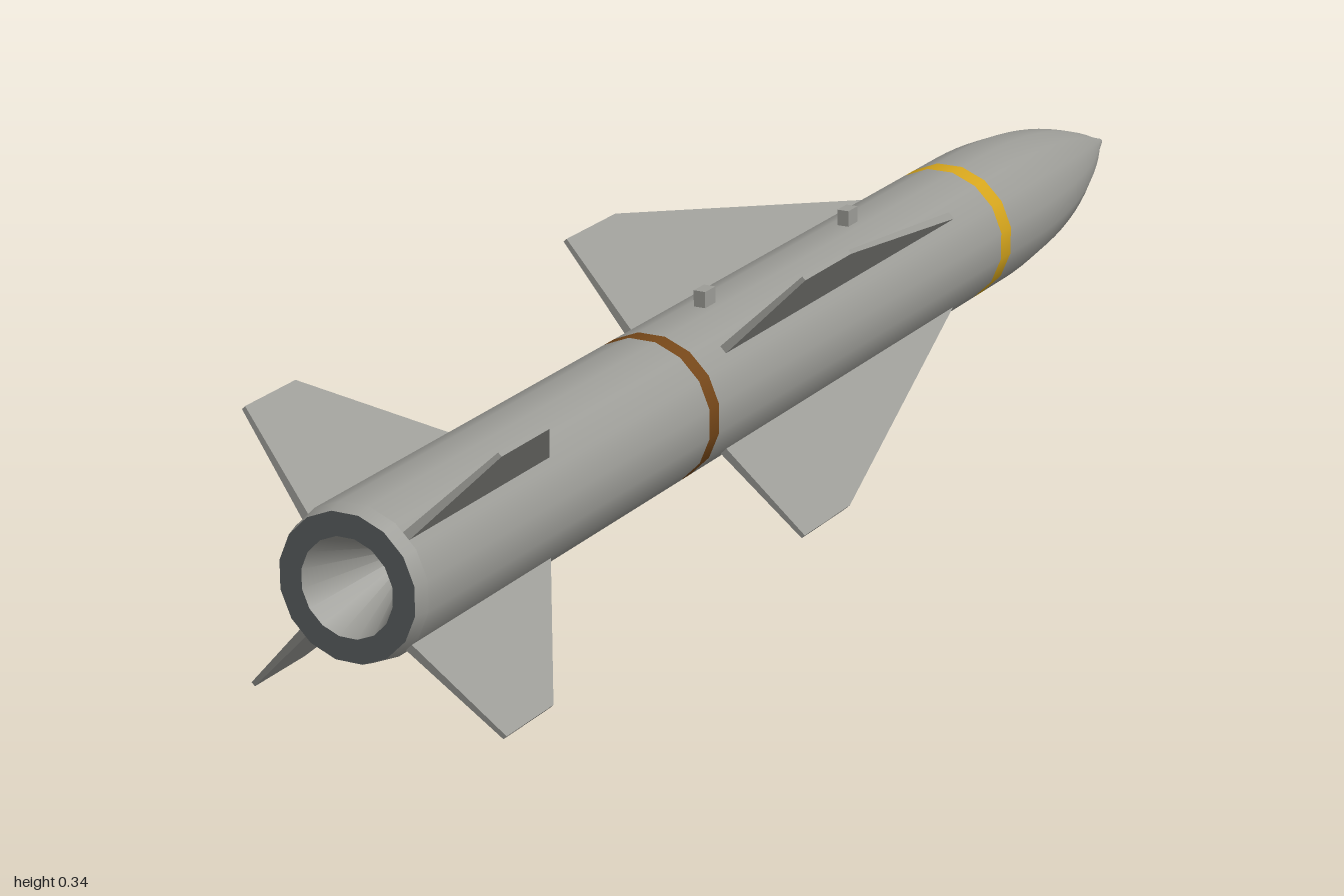
import * as THREE from 'three';

const SIDES = 16;
const R = 0.094;        // hull radius
const AXIS_Y = 0.168;   // height of the long axis

export function createModel() {
  const model = new THREE.Group();
  model.name = 'missile';
  model.position.y = AXIS_Y;

  const mat = (name, color) => {
    const m = new THREE.MeshStandardMaterial({ color });
    m.name = name;
    return m;
  };
  const grey = mat('hull grey', 0x9c9c97);
  const dark = mat('dark grey', 0x5a5f60);
  const yellow = mat('yellow', 0xd4a41c);
  const brown = mat('brown', 0x744618);

  const add = (name, geometry, material, parent = model) => {
    const mesh = new THREE.Mesh(geometry, material);
    mesh.name = name;
    parent.add(mesh);
    return mesh;
  };

  // Surface of revolution along z from [radius, z] pairs, with a flat on top
  const turned = (name, material, profile) => {
    const points = profile.map(([r, z]) => new THREE.Vector2(r, z));
    const g = new THREE.LatheGeometry(points, SIDES, Math.PI / SIDES);
    g.rotateX(Math.PI / 2);
    return add(name, g, material);
  };

  // Ogive nose with a small blunt tip
  const noseBase = -0.57, noseLength = 0.43;
  const arc = (R * R + noseLength * noseLength) / (2 * R);
  const nose = [[0, -1], [0.004, -0.998]];
  for (let i = 1; i <= 14; i++) {
    const d = noseLength * (1 - i / 14);
    nose.push([Math.max(0.007, Math.sqrt(arc * arc - d * d) - arc + R), noseBase - d]);
  }
  turned('nose', grey, nose);

  // Hull sections and painted bands
  turned('forwardHull', grey, [[R, -0.57], [R, -0.505]]);
  turned('yellowBand', yellow, [[R, -0.505], [R, -0.475]]);
  turned('middleHull', grey, [[R, -0.475], [R, 0.315]]);
  turned('brownBand', brown, [[R, 0.315], [R, 0.339]]);
  turned('motorHull', grey, [[R, 0.339], [R, 0.625]]);
  turned('tailHull', grey, [[R, 0.625], [R, 0.98]]);
  turned('tailChamfer', grey, [[R, 0.98], [0.089, 1]]);

  // Exhaust end
  turned('exhaustRing', dark, [[0.089, 1], [0.06, 1]]);
  turned('nozzleCone', grey, [[0.06, 1], [0, 0.85]]);

  // Tapered fin standing along +y, shaped from a box
  const finGeometry = (rootFront, rootBack, tipFront, tipBack) => {
    const g = new THREE.BoxGeometry(1, 1, 1);
    const p = g.attributes.position;
    for (let i = 0; i < p.count; i++) {
      const tip = p.getY(i) > 0, back = p.getZ(i) > 0;
      const z = tip ? (back ? tipBack : tipFront) : (back ? rootBack : rootFront);
      p.setXYZ(i, Math.sign(p.getX(i)) * (tip ? 0.003 : 0.0055), tip ? 0.234 : 0.09, z);
    }
    g.computeVertexNormals();
    return g;
  };
  const wing = finGeometry(-0.385, 0.255, 0.115, 0.236);
  const tailFin = finGeometry(0.675, 0.98, 0.843, 0.945);
  for (let i = 0; i < 4; i++) {
    const angle = Math.PI / 4 + i * Math.PI / 2;
    add('wing', wing, grey).rotation.z = angle;
    add('tailFin', tailFin, grey).rotation.z = angle;
  }

  // Mounting lugs on top
  for (const z of [-0.203, 0.182]) {
    add('mountingLug', new THREE.BoxGeometry(0.016, 0.028, 0.026), grey).position.set(0, 0.099, z);
  }

  const root = new THREE.Group();
  root.name = 'model';
  root.add(model);
  return root;
}
